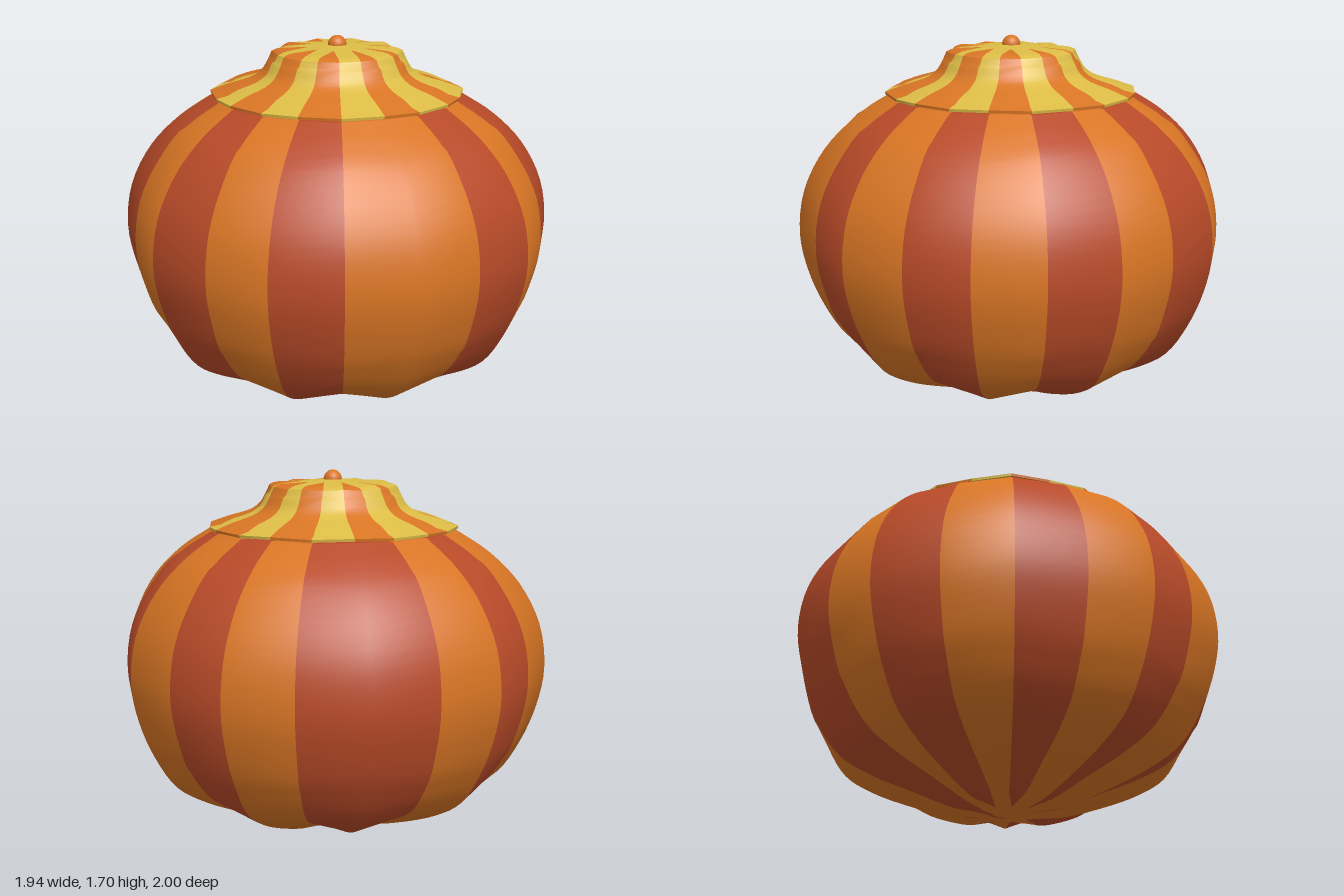
import * as THREE from 'three';

const SECTORS = 20;
const STEP = (Math.PI * 2) / SECTORS;

// 1 on the ten ridges, 0 in the ten valleys, linear in between
function ridge(angle) {
  const t = Math.abs(angle / STEP) % 2;
  return Math.abs(1 - t);
}

// How much of a dark stripe remains at radius r (rounded finger tips near the pole)
function stripeWidth(r, from, to) {
  if (r >= to) return 1;
  if (r <= from) return 0;
  return Math.sqrt((r - from) / (to - from));
}

// Ribbed, striped surface of revolution.
// rows: [radius, y, rib depth, y drop in the valleys], running from bottom to top on the outside
function ribbed(name, rows, isDark, materials, finger) {
  const pos = [];
  for (const [r, y, amp, drop] of rows) {
    const w = finger ? stripeWidth(r, finger[0], finger[1]) : 1;
    for (let i = 0; i < SECTORS; i++) {
      const here = isDark(i), before = isDark((i + SECTORS - 1) % SECTORS);
      const shift = here === before ? 0 : (here ? 1 : -1) * 0.5 * (1 - w);
      const a = (i + shift) * STEP;
      const valley = 1 - ridge(a);
      const rr = r * (1 - amp * valley);
      pos.push(rr * Math.sin(a), y - drop * valley, rr * Math.cos(a));
    }
  }
  const dark = [], light = [];
  for (let j = 0; j < rows.length - 1; j++) {
    for (let i = 0; i < SECTORS; i++) {
      const n = (i + 1) % SECTORS;
      const a = j * SECTORS + i, b = j * SECTORS + n;
      const c = b + SECTORS, d = a + SECTORS;
      (isDark(i) ? dark : light).push(a, b, c, a, c, d);
    }
  }
  const geo = new THREE.BufferGeometry();
  geo.setAttribute('position', new THREE.Float32BufferAttribute(pos, 3));
  geo.setIndex([...dark, ...light]);
  geo.addGroup(0, dark.length, 0);
  geo.addGroup(dark.length, light.length, 1);
  geo.computeVertexNormals();
  const mesh = new THREE.Mesh(geo, materials);
  mesh.name = name;
  return mesh;
}

// Smooth a short profile; rib depth and drop are interpolated along with it
function smoothRows(keys, count) {
  const shape = new THREE.CatmullRomCurve3(keys.map(k => new THREE.Vector3(k[0], k[1], k[2])));
  const drops = new THREE.CatmullRomCurve3(keys.map(k => new THREE.Vector3(k[3], 0, 0)));
  return Array.from({ length: count + 1 }, (_, i) => {
    const p = shape.getPoint(i / count);
    return [Math.max(p.x, 0.0005), p.y, p.z, drops.getPoint(i / count).x];
  });
}

function material(name, color) {
  const m = new THREE.MeshStandardMaterial({ color });
  m.name = name;
  return m;
}

export function createModel() {
  const group = new THREE.Group();
  group.name = 'pumpkinJar';
  const red = material('rust red', 0xb84a28);
  const orange = material('orange', 0xd87524);
  const yellow = material('yellow', 0xdcbc46);

  // The body stripes alternate, with the order swapped over one half
  const bodyDark = i => (i % 2 === 0) !== (i >= 2 && i <= 11);
  const lidDark = i => i % 2 === 0;

  // Body
  const bodyRows = smoothRows([
    [0, 0.0, 0, 0], [0.08, 0.012, 0.02, 0], [0.16, 0.022, 0.04, -0.01], [0.26, 0.03, 0.06, -0.02],
    [0.45, 0.09, 0.06, -0.03], [0.66, 0.18, 0.06, -0.02], [0.8, 0.275, 0.05, -0.01],
    [0.9, 0.43, 0.035, 0], [0.97, 0.61, 0.03, 0], [1.0, 0.79, 0.03, 0],
    [0.97, 1.0, 0.03, 0], [0.87, 1.19, 0.03, 0], [0.73, 1.33, 0.025, 0], [0.575, 1.43, 0.02, 0.006],
  ], 52);
  group.add(ribbed('body', bodyRows, bodyDark, [red, orange], [0.13, 0.27]));

  // Flat top of the body, hidden under the lid
  group.add(ribbed('bodyTop', [[0.575, 1.43, 0.02, 0.006], [0.0005, 1.42, 0, 0]], bodyDark, [red, orange]));

  // Lid: underside, thin rim, flared skirt and flat crown
  const rimLow = [0.583, 1.436, 0.02, 0.006];
  const rimHigh = [0.585, 1.448, 0.02, 0.006];
  group.add(ribbed('lidUnderside', [[0.0005, 1.436, 0, 0], rimLow], lidDark, [orange, yellow]));
  group.add(ribbed('lidRim', [rimLow, rimHigh], lidDark, [orange, yellow]));
  const skirt = smoothRows([
    rimHigh, [0.5, 1.478, 0.02, 0.006], [0.39, 1.512, 0.03, 0.003], [0.345, 1.545, 0.04, 0],
    [0.318, 1.59, 0.05, 0], [0.3, 1.628, 0.06, 0.006],
  ], 16);
  group.add(ribbed('lidSkirt', skirt, lidDark, [orange, yellow]));
  const crown = smoothRows([
    [0.3, 1.628, 0.06, 0.006], [0.27, 1.64, 0.05, 0.008], [0.2, 1.645, 0.03, 0.005],
    [0.14, 1.648, 0.02, 0.002], [0.07, 1.651, 0, 0], [0, 1.652, 0, 0],
  ], 24);
  group.add(ribbed('lidCrown', crown, lidDark, [orange, yellow], [0.14, 0.285]));

  // Knob
  const knob = new THREE.Mesh(new THREE.SphereGeometry(0.043, 20, 14), orange);
  knob.name = 'knob';
  knob.position.y = 1.655;
  group.add(knob);

  return group;
}
